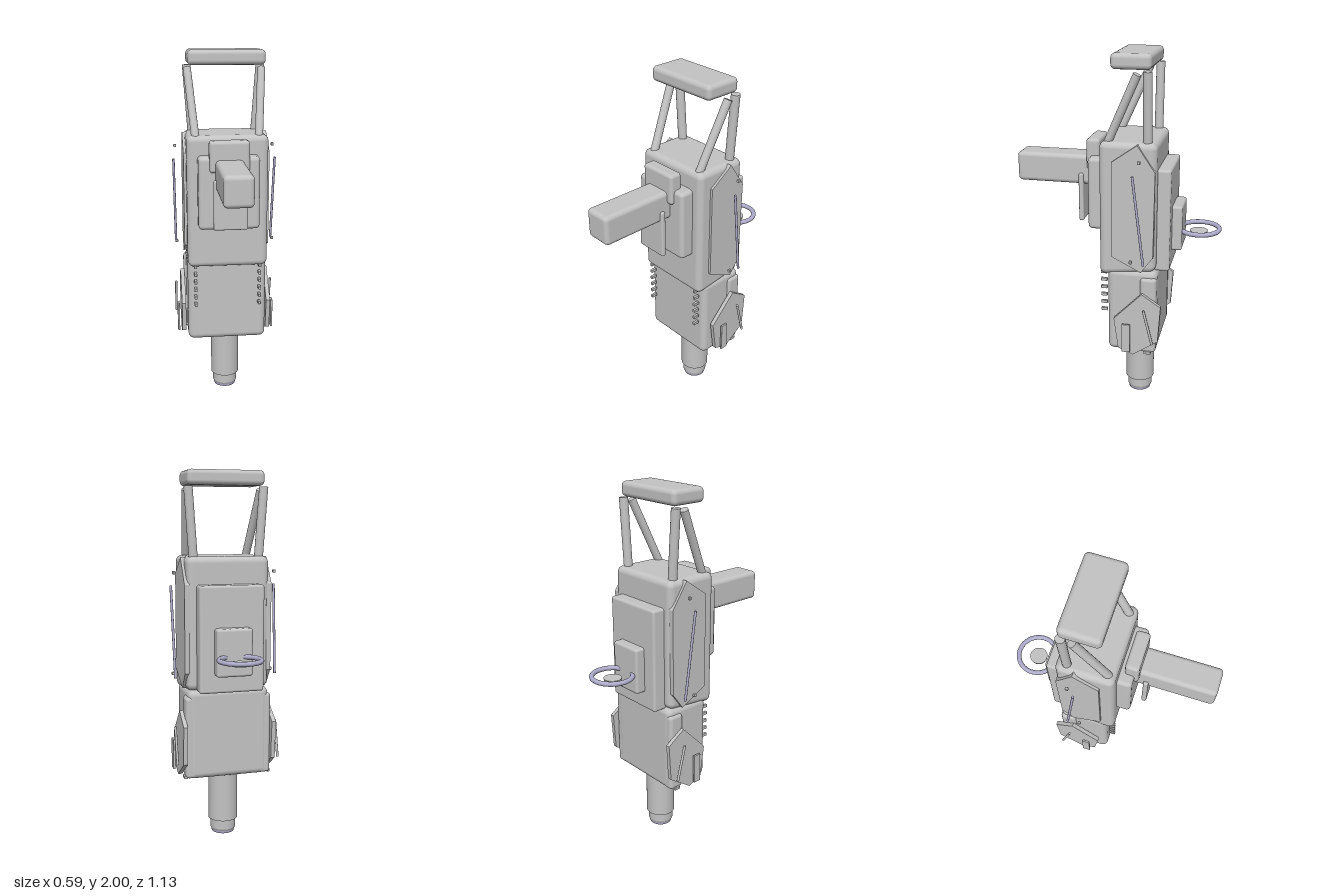
import * as THREE from 'three';
import { RoundedBoxGeometry } from 'three/addons/geometries/RoundedBoxGeometry.js';

export function createModel() {
  const model = new THREE.Group();
  const grey = new THREE.MeshStandardMaterial({ color: 0xc3c3c3 });
  grey.name = 'matte grey';
  const steel = new THREE.MeshStandardMaterial({ color: 0xafadcb });
  steel.name = 'bluish steel';

  function add(name, geometry, material = grey) {
    const mesh = new THREE.Mesh(geometry, material);
    mesh.name = name;
    model.add(mesh);
    return mesh;
  }
  // Rounded box given by its extents
  function box(name, x0, x1, y0, y1, z0, z1, r = 0.012) {
    const g = new RoundedBoxGeometry(x1 - x0, y1 - y0, z1 - z0, 3, r);
    g.translate((x0 + x1) / 2, (y0 + y1) / 2, (z0 + z1) / 2);
    return add(name, g);
  }
  // Round bar between two points
  function bar(name, a, b, r, material = grey) {
    const from = new THREE.Vector3(...a), to = new THREE.Vector3(...b);
    const dir = to.clone().sub(from);
    const mesh = add(name, new THREE.CylinderGeometry(r, r, dir.length(), 16), material);
    mesh.position.copy(from).add(to).multiplyScalar(0.5);
    mesh.quaternion.setFromUnitVectors(new THREE.Vector3(0, 1, 0), dir.normalize());
  }
  // Flat plate on a side, outlined by [z, y] points, between two x positions
  function sidePlate(name, points, side, inner, outer) {
    const shape = new THREE.Shape(points.map(([z, y]) => new THREE.Vector2(-z, y)));
    const g = new THREE.ExtrudeGeometry(shape, { depth: outer - inner, bevelEnabled: false });
    g.rotateY(Math.PI / 2);
    g.translate(side > 0 ? inner : -outer, 0, 0);
    add(name, g);
  }

  // Main housings; the upper one has an underside rising to the back
  const upper = box('upperBody', -0.224, 0.224, 0.812, 1.555, -0.235, 0.072, 0.034);
  const p = upper.geometry.attributes.position;
  for (let i = 0; i < p.count; i++) {
    if (p.getY(i) < 1) p.setY(i, p.getY(i) + 0.035 * (0.072 - p.getZ(i)) / 0.307);
  }
  box('lowerBody', -0.224, 0.224, 0.357, 0.85, -0.247, 0.027, 0.034);

  // Front mount with forward arm
  box('frontPlate', -0.167, 0.167, 1.053, 1.452, 0.05, 0.147, 0.022);
  box('armMount', -0.108, 0.108, 1.37, 1.54, 0.093, 0.167, 0.018);
  box('forwardArm', -0.077, 0.077, 1.277, 1.44, 0.13, 0.567, 0.024);
  box('hangingPlate', -0.092, 0.092, 1.07, 1.34, 0.19, 0.217, 0.01);

  // Back plates with ring and disc
  box('backPlate', -0.176, 0.176, 0.842, 1.41, -0.305, -0.22, 0.014);
  box('ringMount', -0.097, 0.097, 0.937, 1.19, -0.359, -0.29, 0.014);
  const ring = add('backRing', new THREE.TorusGeometry(0.108, 0.013, 12, 48), steel);
  ring.rotation.x = Math.PI / 2;
  ring.position.set(0, 1.042, -0.445);
  const disc = add('ringDisc', new THREE.CylinderGeometry(0.049, 0.045, 0.018, 32));
  disc.position.set(0, 1.022, -0.442);

  // Barrel with hollow steel-rimmed muzzle; each profile segment keeps a sharp edge
  const lathe = (name, points, material) => {
    for (let i = 1; i < points.length; i++) {
      const pair = points.slice(i - 1, i + 1).map(([r, y]) => new THREE.Vector2(r, y));
      add(name, new THREE.LatheGeometry(pair, 36), material).position.z = -0.12;
    }
  };
  lathe('barrel', [[0.07, 0.075], [0.082, 0.08], [0.082, 0.37]], grey);
  lathe('muzzle', [[0.066, 0.015], [0.071, 0.025], [0.071, 0.08]], grey);
  lathe('muzzleFloor', [[0, 0.02], [0.047, 0.02]], grey);
  lathe('muzzleRim', [[0.047, 0.02], [0.05, 0], [0.063, 0], [0.066, 0.015]], steel);

  // Carrying handle
  box('handle', -0.21, 0.21, 1.92, 2, -0.197, 0.013, 0.025);

  const upperOutline = [[-0.135, 1.55], [0, 1.455], [0, 0.93], [-0.16, 0.85], [-0.225, 0.94], [-0.23, 1.41]];
  const lowerOutline = [[-0.17, 0.73], [-0.015, 0.57], [-0.04, 0.39], [-0.125, 0.355], [-0.262, 0.45], [-0.275, 0.66]];

  for (const s of [1, -1]) {
    const span = (a, b) => (s > 0 ? [a, b] : [-b, -a]);

    // Handle struts
    bar('frontStrut', [s * 0.172, 1.53, 0.038], [s * 0.205, 1.9, -0.127], 0.022);
    bar('rearStrut', [s * 0.178, 1.53, -0.18], [s * 0.205, 1.915, -0.18], 0.024);

    // Side armour and details
    sidePlate('upperSidePlate', upperOutline, s, 0.21, 0.238);
    sidePlate('lowerSidePlate', lowerOutline, s, 0.235, 0.258);
    box('sideRib', ...span(0.17, 0.238), 0.362, 0.815, -0.245, -0.155, 0.02);
    bar('upperSideRod', [s * 0.288, 1.4, -0.12], [s * 0.28, 0.91, -0.18], 0.007, steel);
    bar('lowerSideRod', [s * 0.284, 0.645, -0.185], [s * 0.284, 0.445, -0.235], 0.007);
    box('lowerSideStrip', ...span(0.27, 0.282), 0.38, 0.55, -0.11, -0.065, 0.002);
    box('upperStud', ...span(0.27, 0.286), 1.462, 1.479, -0.16, -0.143, 0.004);
    box('lowerStud', ...span(0.27, 0.286), 0.915, 0.932, -0.12, -0.103, 0.004);
    box('bottomStud', ...span(0.225, 0.245), 0.356, 0.374, -0.222, -0.182, 0.004);

    // Column of small front vents
    for (let i = 0; i < 6; i++) {
      const y = 0.588 + i * 0.0455;
      box('frontVent', ...span(0.174, 0.19), y - 0.009, y + 0.009, 0.035, 0.071, 0.003);
    }
  }
  return model;
}
